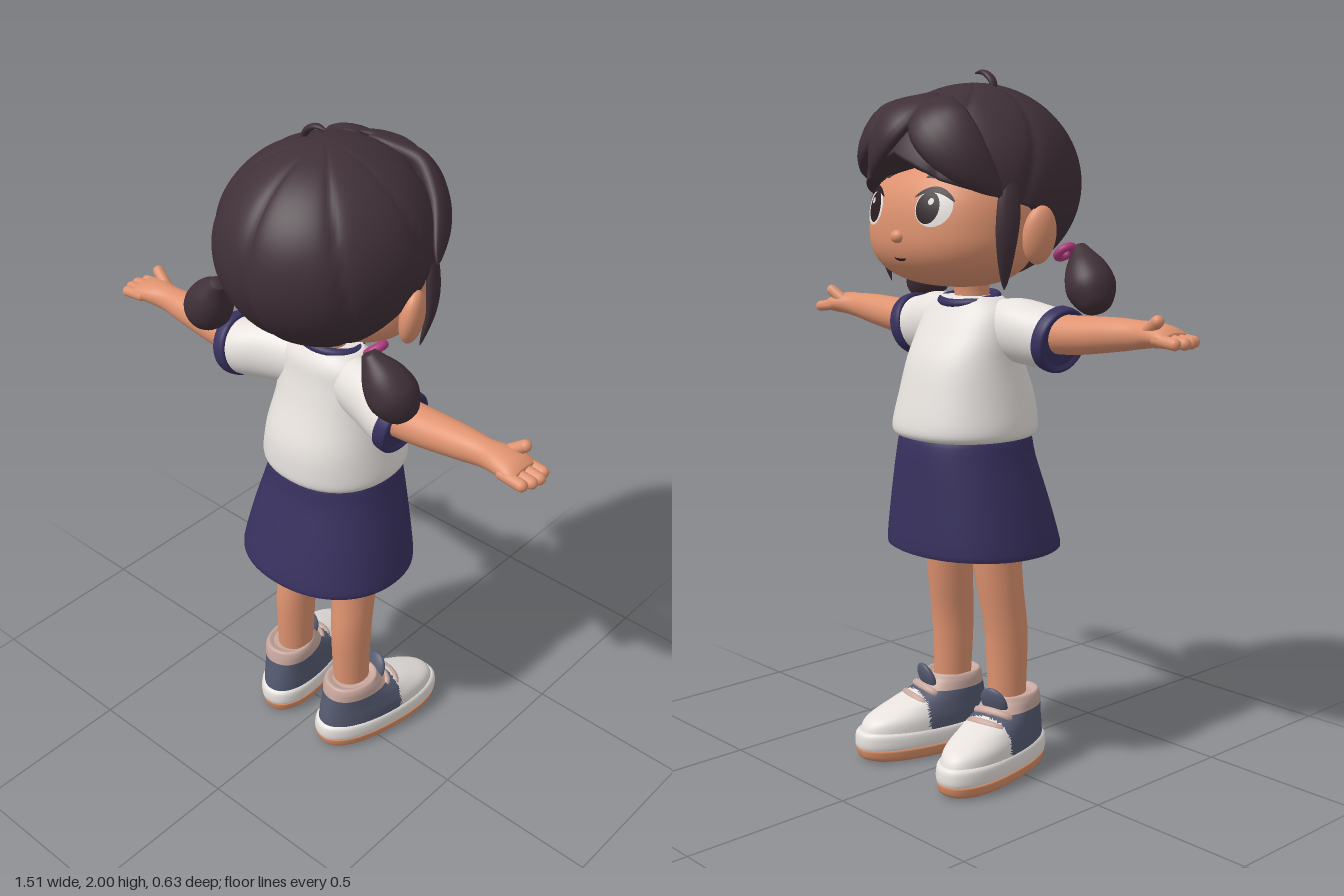
import * as THREE from 'three';

const mat = (name, color) => Object.assign(new THREE.MeshStandardMaterial({ color }), { name });
const V = (x, y, z) => new THREE.Vector3(x, y, z);

// Closed-loop surface from rows of points, capped at both ends
function grid(rows, cols, fn) {
  const pos = [], idx = [], first = V(0, 0, 0), last = V(0, 0, 0);
  for (let i = 0; i < rows; i++) for (let j = 0; j < cols; j++) {
    const p = fn(i, (j / cols) * Math.PI * 2);
    pos.push(p.x, p.y, p.z);
    if (i === 0) first.addScaledVector(p, 1 / cols);
    if (i === rows - 1) last.addScaledVector(p, 1 / cols);
  }
  pos.push(...first.toArray(), ...last.toArray());
  const c0 = rows * cols, top = (rows - 1) * cols;
  for (let j = 0; j < cols; j++) {
    const k = (j + 1) % cols;
    for (let i = 0; i < rows - 1; i++) {
      const a = i * cols + j, b = i * cols + k;
      idx.push(a, a + cols, b, b, a + cols, b + cols);
    }
    idx.push(c0, j, k, c0 + 1, top + k, top + j);
  }
  const g = new THREE.BufferGeometry();
  g.setAttribute('position', new THREE.Float32BufferAttribute(pos, 3));
  g.setIndex(idx);
  g.computeVertexNormals();
  return g;
}

// Rings [y, cx, cz, rx, rz] joined upward, smoothed by a spline; n squares the section
function loft(rings, sub = 4, n = 2, cols = 40) {
  const last = rings.length - 1, at = i => rings[Math.min(Math.max(i, 0), last)];
  const ring = s => {
    const i = Math.min(Math.floor(s), last - 1), t = s - i;
    return at(i).map((b, k) => {
      const a = at(i - 1)[k], c = at(i + 1)[k], d = at(i + 2)[k];
      return b + 0.5 * t * (c - a + t * (2 * a - 5 * b + 4 * c - d + t * (3 * (b - c) + d - a)));
    });
  };
  return grid(last * sub + 1, cols, (i, a) => {
    const [y, cx, cz, rx, rz] = ring(i / sub), c = Math.cos(a), s = Math.sin(a);
    const k = (Math.abs(c) ** n + Math.abs(s) ** n) ** (-1 / n);
    return V(cx + rx * c * k, y, cz + rz * s * k);
  });
}

// Tapered, flattened lock of hair along a curve around the head
function lock(points, width, thick) {
  const curve = new THREE.CatmullRomCurve3(points.map(p => V(...p)));
  return grid(25, 16, (i, a) => {
    const t = i / 24, p = curve.getPoint(t), tan = curve.getTangent(t);
    const out = p.clone().sub(V(0, 1.66, 0));
    out.addScaledVector(tan, -out.dot(tan)).normalize();
    const side = tan.clone().cross(out), r = 0.03 + 0.97 * Math.sin(Math.PI * t ** 0.8) ** 0.7;
    return p.addScaledVector(side, Math.cos(a) * width * r).addScaledVector(out, Math.sin(a) * thick * r);
  });
}

function mirror(geo) {
  const g = geo.clone().applyMatrix4(new THREE.Matrix4().makeScale(-1, 1, 1)), ix = g.index;
  for (let i = 0; i < ix.count; i += 3) {
    const b = ix.getX(i + 1);
    ix.setX(i + 1, ix.getX(i + 2));
    ix.setX(i + 2, b);
  }
  return g;
}

// Sort triangles into material groups by their centre
function paint(geo, count, pick) {
  const p = geo.attributes.position, ix = geo.index.array, sets = Array.from({ length: count }, () => []);
  for (let i = 0; i < ix.length; i += 3) {
    const t = [ix[i], ix[i + 1], ix[i + 2]];
    const mean = f => t.reduce((s, v) => s + p[f](v) / 3, 0);
    sets[pick(mean('getX'), mean('getY'), mean('getZ'))].push(...t);
  }
  geo.setIndex(sets.flat());
  let start = 0;
  sets.forEach((s, m) => { geo.addGroup(start, s.length, m); start += s.length; });
  return geo;
}

const ball = (r, x, y, z) => new THREE.SphereGeometry(1, 32, 24).scale(...r).translate(x, y, z);

// Rounded head form; the face looks towards -z
const HEAD = { y: 1.56, z: -0.06, rx: 0.25, rz: 0.225, n: 2.4 };
const headRy = y => (y > HEAD.y ? 0.22 : 0.155);
const faceZ = (x, y) => HEAD.z - HEAD.rz * Math.max(0,
  1 - Math.abs(x / HEAD.rx) ** HEAD.n - Math.abs((y - HEAD.y) / headRy(y)) ** HEAD.n) ** (1 / HEAD.n);

function headGeometry() {
  const g = new THREE.SphereGeometry(1, 64, 48), p = g.attributes.position;
  for (let i = 0; i < p.count; i++) {
    const d = [p.getX(i), p.getY(i), p.getZ(i)];
    const k = d.reduce((s, v) => s + Math.abs(v) ** HEAD.n, 0) ** (-1 / HEAD.n);
    p.setXYZ(i, d[0] * k * HEAD.rx, HEAD.y + d[1] * k * (d[1] > 0 ? 0.22 : 0.155),
      HEAD.z + d[2] * k * (d[2] < 0 ? HEAD.rz : 0.15));
  }
  g.computeVertexNormals();
  return g;
}

// Thin oval laid on the face
function patch(cx, cy, rx, ry, tilt, lift, bend = 0) {
  const g = new THREE.RingGeometry(0.001, 1, 32, 6), p = g.attributes.position;
  for (let i = 0; i < p.count; i++) {
    const u = -p.getX(i) * rx, v = p.getY(i) * ry - bend * p.getX(i) ** 2;
    const x = cx + u * Math.cos(tilt) - v * Math.sin(tilt), y = cy + u * Math.sin(tilt) + v * Math.cos(tilt);
    p.setXYZ(i, x, y, faceZ(x, y) - lift);
  }
  g.computeVertexNormals();
  return g;
}

// Hair cap: ellipsoid cut at a hairline that rises from nape to forehead
const LINE = [[0, 1.425], [40, 1.43], [62, 1.47], [80, 1.55], [95, 1.62], [130, 1.67], [150, 1.70], [165, 1.74], [180, 1.77]];
function hairline(w) {
  const d = Math.min(w * 180 / Math.PI, 179.99), i = LINE.findIndex(p => p[0] > d);
  const [a, b] = [LINE[i - 1], LINE[i]];
  return a[1] + (b[1] - a[1]) * (d - a[0]) / (b[0] - a[0]);
}
const hairCap = () => grid(42, 144, (i, a) => {
  const w = Math.acos(Math.min(1, Math.max(-1, Math.sin(a))));
  const th = Math.acos((hairline(w) - 1.69) / 0.275) * (1 - Math.max(0, i - 1) / 40.4);
  const groove = (1 - Math.abs(Math.sin(w * (3.5 + 0.6 * Math.cos(th))))) ** 4;
  const r = (i === 0 ? 0.86 : 1) * (1 - 0.035 * groove * Math.sin(th)), h = r * Math.sin(th);
  return V(0.294 * h * Math.cos(a), 1.69 + 0.275 * r * Math.cos(th), 0.308 * h * Math.sin(a));
});

export function createModel() {
  const model = new THREE.Group();
  model.name = 'girl';
  const skin = mat('skin', 0xdf9370), hair = mat('darkHair', 0x403038), white = mat('white', 0xe6e1dd);
  const navy = mat('navy', 0x38315f), slate = mat('slateBlue', 0x555a70), pink = mat('pinkTie', 0xb03c7c);
  const blush = mat('paleLace', 0xc8a89e), sole = mat('soleOrange', 0xd98f68), dark = mat('eyeDark', 0x2b1d22);
  const add = (name, geo, m) => {
    const mesh = new THREE.Mesh(geo, m);
    mesh.name = name;
    model.add(mesh);
  };
  const pair = (name, geo, m) => {
    add(name + 'Left', geo, m);
    add(name + 'Right', mirror(geo), m);
  };

  // Head and face
  add('head', headGeometry(), skin);
  add('nose', ball([0.022, 0.018, 0.018], 0, 1.55, -0.283), skin);
  add('mouth', patch(0, 1.487, 0.024, 0.004, 0, 0.004, -0.004), dark);
  add('neck', loft([[1.3, 0, -0.01, 0.06, 0.055], [1.38, 0, -0.01, 0.05, 0.05], [1.46, 0, -0.02, 0.055, 0.055]]), skin);
  pair('ear', ball([0.032, 0.08, 0.048], 0, 0, 0).rotateY(0.35).rotateZ(-0.15).translate(0.277, 1.555, -0.02), skin);
  pair('eyeWhite', patch(0.12, 1.628, 0.052, 0.05, 0, 0.004), white);
  pair('iris', patch(0.108, 1.628, 0.034, 0.042, 0, 0.007), dark);
  pair('eyeGlint', patch(0.118, 1.645, 0.008, 0.009, 0, 0.009), white);
  pair('eyelash', patch(0.122, 1.676, 0.056, 0.008, -0.1, 0.008, 0.026), dark);
  pair('eyebrow', patch(0.11, 1.712, 0.036, 0.008, -0.12, 0.006, 0.008), hair);

  // Hair
  add('hairCap', hairCap(), hair);
  add('fringeRight', lock([[-0.03, 1.92, -0.16], [-0.12, 1.85, -0.245], [-0.2, 1.76, -0.225], [-0.26, 1.66, -0.14]], 0.085, 0.035), hair);
  add('fringeLeft', lock([[-0.02, 1.92, -0.17], [0.11, 1.85, -0.24], [0.21, 1.78, -0.2], [0.305, 1.69, -0.08]], 0.085, 0.035), hair);
  add('fringeMiddle', lock([[-0.03, 1.93, -0.16], [0.02, 1.86, -0.265], [0.075, 1.79, -0.285], [0.14, 1.7, -0.26]], 0.075, 0.03), hair);
  pair('sideLock', lock([[0.255, 1.74, -0.11], [0.262, 1.63, -0.12], [0.258, 1.53, -0.125], [0.235, 1.41, -0.11]], 0.034, 0.018), hair);
  add('cowlick', lock([[-0.085, 1.92, 0], [-0.07, 1.97, 0], [-0.035, 1.992, 0], [0, 1.99, 0]], 0.014, 0.009), hair);
  pair('pigtail', loft([[-0.1, 0, 0, 0.008, 0.008], [-0.085, 0, 0, 0.042, 0.042], [-0.03, 0, 0, 0.069, 0.069],
    [0.03, 0, 0, 0.06, 0.06], [0.08, 0, 0, 0.034, 0.034], [0.105, 0, 0, 0.02, 0.02]])
    .rotateZ(0.55).rotateX(0.2).translate(0.325, 1.43, 0.125), hair);
  pair('hairTie', new THREE.TorusGeometry(0.024, 0.012, 12, 24).rotateX(Math.PI / 2).rotateZ(0.7).translate(0.258, 1.505, 0.1), pink);

  // Shirt
  add('shirt', loft([[0.98, 0, -0.035, 0.18, 0.175], [0.99, 0, -0.037, 0.2, 0.195], [1.02, 0, -0.037, 0.204, 0.2],
    [1.1, 0, -0.032, 0.19, 0.186], [1.2, 0, -0.036, 0.172, 0.152], [1.28, 0, -0.025, 0.165, 0.117],
    [1.34, 0, -0.012, 0.15, 0.092], [1.378, 0, -0.012, 0.1, 0.068]], 4, 2.2), white);
  add('collar', new THREE.TorusGeometry(0.078, 0.013, 12, 40).rotateX(Math.PI / 2).scale(1.1, 1, 0.92)
    .rotateX(-0.16).translate(0, 1.37, -0.02), navy);
  const lieX = g => g.rotateZ(-Math.PI / 2);
  pair('sleeve', lieX(loft([[0.06, -1.29, 0, 0.075, 0.065], [0.17, -1.287, 0.015, 0.09, 0.08],
    [0.25, -1.275, 0.035, 0.087, 0.085], [0.295, -1.27, 0.04, 0.083, 0.084]])), white);
  pair('cuff', lieX(loft([[-0.022, 0, 0, 0.084, 0.086], [-0.016, 0, 0, 0.092, 0.093], [0.012, 0, 0, 0.092, 0.093],
    [0.02, 0, 0, 0.084, 0.085], [0.012, 0, 0, 0.07, 0.07]], 3)).rotateZ(-0.2).translate(0.298, 1.27, 0.04), navy);

  // Arms and hands
  pair('arm', lieX(loft([[0.2, -1.285, 0.04, 0.056, 0.06], [0.35, -1.287, 0.04, 0.054, 0.058], [0.5, -1.3, 0.043, 0.046, 0.048],
    [0.58, -1.306, 0.045, 0.038, 0.04], [0.63, -1.31, 0.045, 0.034, 0.05], [0.68, -1.307, 0.045, 0.028, 0.056],
    [0.705, -1.303, 0.045, 0.016, 0.05]])), skin);
  [[0.005, 0.7], [0.033, 0.71], [0.061, 0.706], [0.087, 0.694]].forEach(([z, x], i) =>
    pair('finger' + (i + 1), new THREE.CapsuleGeometry(0.0165, 0.06, 6, 14).rotateZ(Math.PI / 2 - 0.12).translate(x, 1.3, z), skin));
  pair('thumb', new THREE.CapsuleGeometry(0.017, 0.055, 6, 14).rotateZ(-1).rotateY(0.25).translate(0.65, 1.335, 0.012), skin);

  // Skirt, with its inner face
  add('skirt', loft([[0.9, 0, -0.03, 0.15, 0.14], [0.675, 0, -0.005, 0.245, 0.215], [0.66, 0, -0.005, 0.254, 0.224],
    [0.672, 0, -0.005, 0.261, 0.231], [0.8, 0, -0.02, 0.235, 0.21], [0.92, 0, -0.035, 0.203, 0.19],
    [0.985, 0, -0.036, 0.188, 0.18], [1.0, 0, -0.036, 0.17, 0.16]], 3, 2.15, 56), navy);

  // Legs
  pair('leg', loft([[0.14, 0.12, 0.018, 0.05, 0.055], [0.3, 0.117, 0.02, 0.055, 0.062], [0.42, 0.115, 0.017, 0.058, 0.067],
    [0.55, 0.107, 0, 0.064, 0.071], [0.7, 0.1, -0.012, 0.07, 0.077], [0.88, 0.1, -0.02, 0.075, 0.085]]), skin);

  // Shoes, toes turned out
  const shoe = (name, g, m) => pair(name, g.rotateY(-0.2).translate(0.135, 0, 0), m);
  shoe('outsole', loft([[0, 0, -0.065, 0.078, 0.2], [0.012, 0, -0.07, 0.09, 0.218], [0.04, 0, -0.07, 0.094, 0.225]], 3, 2.3, 56), sole);
  shoe('midsole', loft([[0.036, 0, -0.07, 0.092, 0.222], [0.05, 0, -0.07, 0.096, 0.227], [0.08, 0, -0.07, 0.095, 0.224],
    [0.09, 0, -0.07, 0.086, 0.212]], 3, 2.3, 56), white);
  const upper = loft([[0.07, 0, -0.07, 0.09, 0.216], [0.115, 0, -0.062, 0.09, 0.203], [0.15, 0, -0.028, 0.084, 0.162],
    [0.185, 0, 0.014, 0.078, 0.112], [0.215, 0, 0.03, 0.075, 0.09], [0.232, 0, 0.032, 0.066, 0.08], [0.225, 0, 0.03, 0.052, 0.06]], 8, 2.2, 96);
  paint(upper, 3, (x, y, z) => (y > 0.19 ? 2 : z < -0.1 ? 1 : 0));
  shoe('shoeUpper', upper, [slate, white, blush]);
  shoe('tongue', ball([0.045, 0.05, 0.016], 0, 0, 0).rotateX(-0.35).translate(0, 0.215, -0.06), slate);
  [[0.2, -0.086], [0.176, -0.122], [0.152, -0.165]].forEach(([y, z], i) =>
    shoe('lace' + (i + 1), new THREE.TorusGeometry(0.055, 0.011, 10, 20, Math.PI).scale(1, 0.5, 1).rotateX(-0.9)
      .translate(0, y - 0.018, z + 0.022), blush));
  return model;
}
